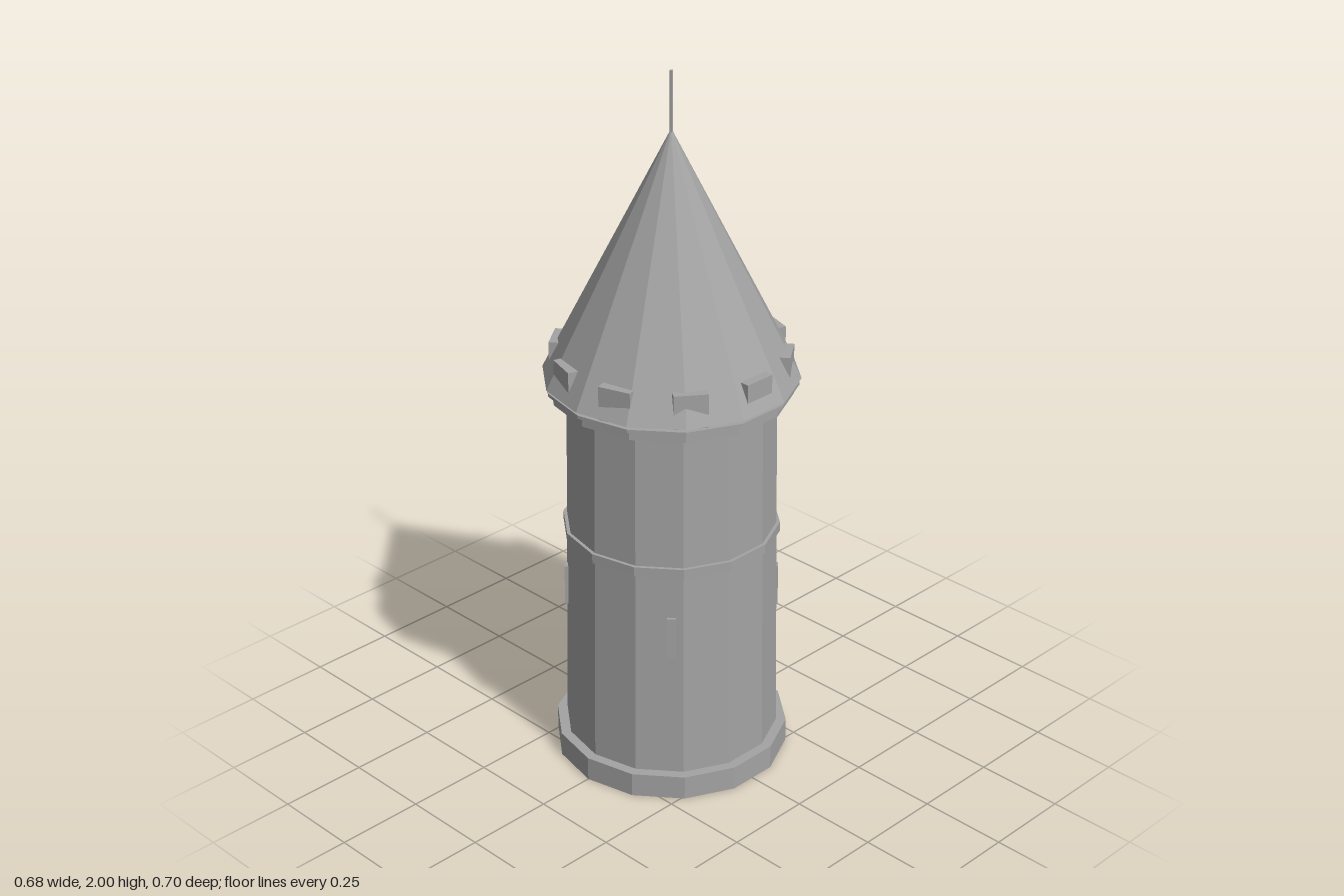
import * as THREE from 'three';

const SIDES = 14;

export function createModel() {
  const tower = new THREE.Group();
  tower.name = 'tower';
  const stone = new THREE.MeshStandardMaterial({ color: 0xa3a3a3, flatShading: true });
  stone.name = 'grey stone';

  function add(name, geometry) {
    const mesh = new THREE.Mesh(geometry, stone);
    mesh.name = name;
    tower.add(mesh);
    return mesh;
  }

  // A faceted drum between two heights
  function drum(name, rTop, rBottom, y0, y1, sides = SIDES) {
    const mesh = add(name, new THREE.CylinderGeometry(rTop, rBottom, y1 - y0, sides));
    mesh.position.y = (y0 + y1) / 2;
  }

  // A box set around the tower, its outer face at the given radius
  function radialBox(name, angle, outer, width, depth, y0, y1) {
    const geometry = new THREE.BoxGeometry(width, y1 - y0, depth);
    geometry.translate(0, (y0 + y1) / 2, outer - depth / 2);
    add(name, geometry).rotation.y = angle;
  }

  // Shaft with its plinth and mouldings
  drum('plinth', 0.33, 0.33, 0, 0.07);
  drum('shaft', 0.285, 0.302, 0.05, 1.12);
  drum('middleBand', 0.301, 0.301, 0.686, 0.714);
  drum('parapetRing', 0.33, 0.33, 1.108, 1.142);
  drum('parapetLip', 0.345, 0.345, 1.136, 1.145);

  // Pointed roof and its thin spire
  const roof = add('roof', new THREE.ConeGeometry(0.35, 0.69, SIDES));
  roof.position.y = 1.155 + 0.345;
  drum('spire', 0.005, 0.005, 1.82, 2, 6);

  // Ten merlons half buried in the roof
  for (let i = 0; i < 10; i++) {
    radialBox('merlon', Math.PI / 2 + (i * Math.PI) / 5, 0.325, 0.092, 0.05, 1.14, 1.24);
  }

  // Four narrow window slits on the diagonals
  for (let i = 0; i < 4; i++) {
    radialBox('windowSlit', Math.PI / 4 + (i * Math.PI) / 2, 0.298, 0.024, 0.03, 0.44, 0.56);
  }

  return tower;
}
